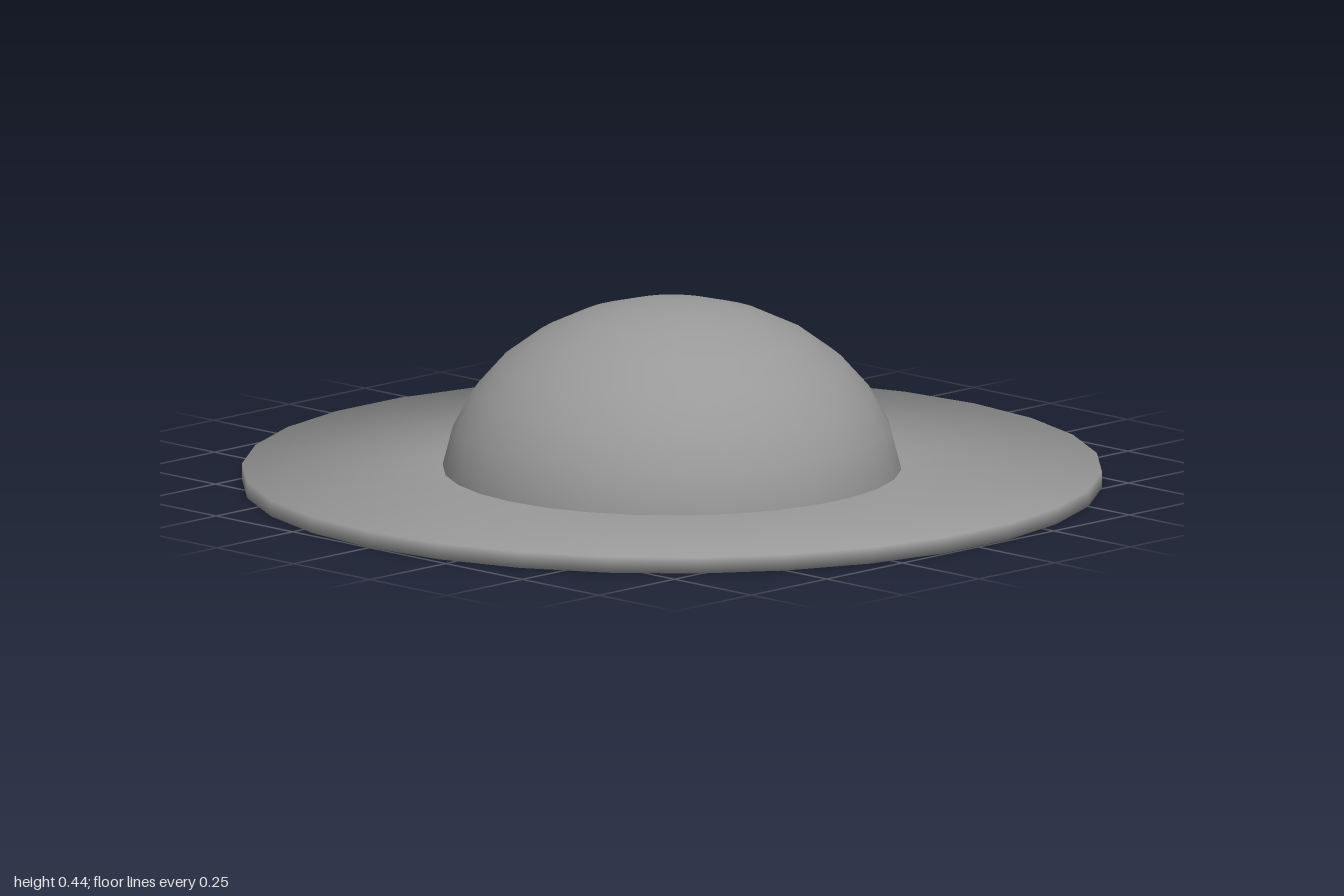
import * as THREE from 'three';

const SIDES = 30;

// Turns a profile of [radius, height, outward normal, upward normal] about the y axis
function turned(name, profile, material) {
  const points = profile.map(([r, y]) => new THREE.Vector2(r, y));
  const geometry = new THREE.LatheGeometry(points, SIDES);
  const normals = geometry.attributes.normal;
  const normal = new THREE.Vector3();
  for (let i = 0; i < normals.count; i++) {
    const angle = Math.floor(i / profile.length) / SIDES * Math.PI * 2;
    const [, , out, up] = profile[i % profile.length];
    normal.set(out * Math.sin(angle), up, out * Math.cos(angle)).normalize();
    normals.setXYZ(i, normal.x, normal.y, normal.z);
  }
  const mesh = new THREE.Mesh(geometry, material);
  mesh.name = name;
  return mesh;
}

export function createModel() {
  const group = new THREE.Group();
  group.name = 'hat';
  const material = new THREE.MeshStandardMaterial({ color: 0x999999, side: THREE.DoubleSide });

  // Thin round brim: closed underside, rim shaded as if rounded, top running in under the crown
  group.add(turned('brim', [
    [0, 0, 0, -1], [1, 0, 1, -1], [1, 0.038, 1, 1], [0.5, 0.038, 0, 1],
  ], material));

  // Domed crown: a flattened half sphere in 12 degree steps, sitting on the brim
  const radius = 0.535, height = 0.435;
  const crown = [[0.533, 0.036, 1, 0.1]];
  for (let step = 7; step >= 0; step--) {
    const angle = THREE.MathUtils.degToRad(step * 12);
    const s = Math.sin(angle), c = Math.cos(angle);
    crown.push([radius * s, height * c, s / radius, c / height]);
  }
  group.add(turned('crown', crown, material));

  return group;
}
